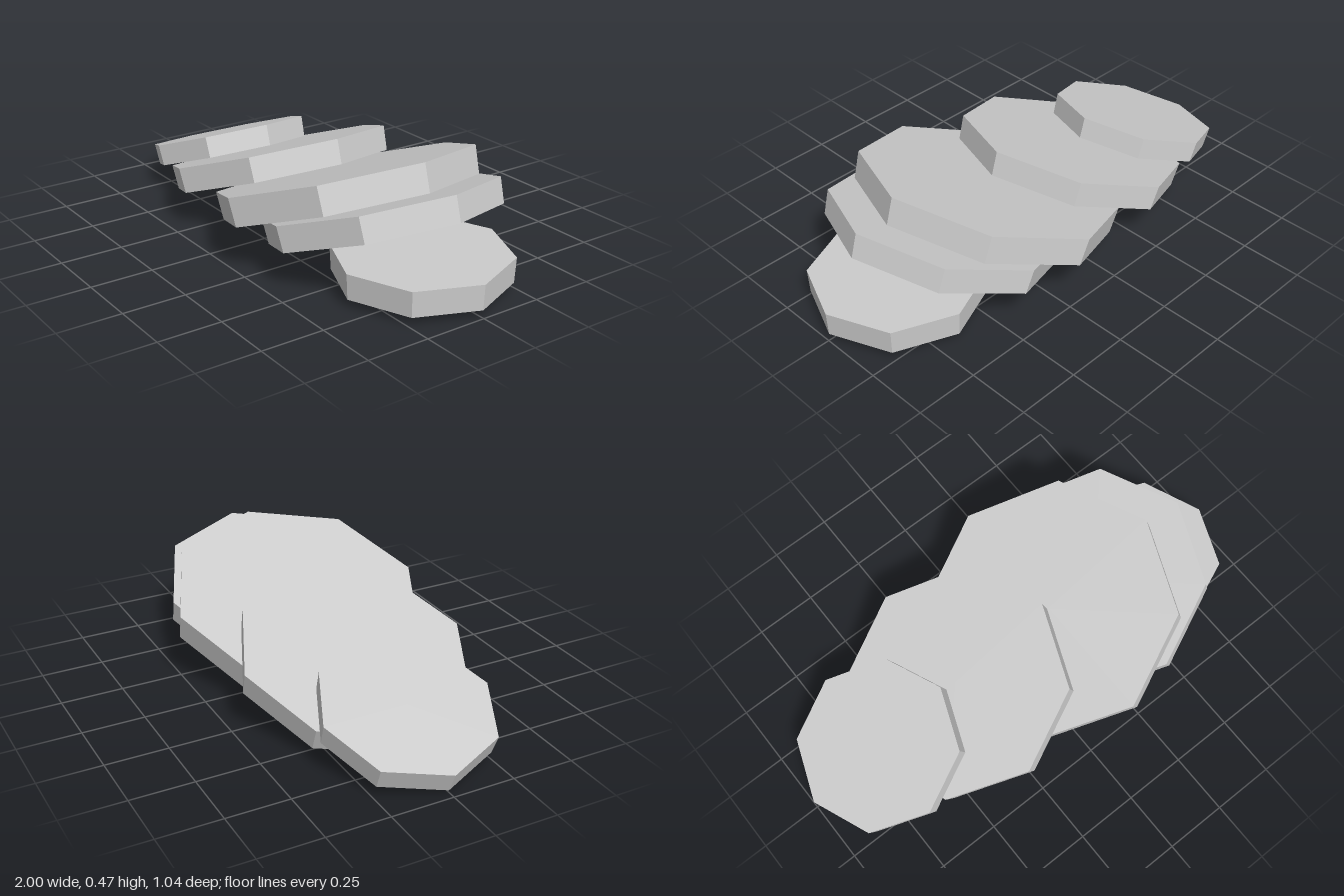
import * as THREE from 'three';

export function createModel() {
  const group = new THREE.Group();
  const material = new THREE.MeshStandardMaterial({ color: 0xcccccc, flatShading: true });
  const tilt = THREE.MathUtils.degToRad(20);

  // Octagonal slab, slightly narrower at its underside
  function addSlab(name, x, y, radius, thickness, angle) {
    const geometry = new THREE.CylinderGeometry(radius, radius * 0.985, thickness, 8);
    const slab = new THREE.Mesh(geometry, material);
    slab.name = name;
    slab.position.set(x, y, 0);
    slab.rotation.z = angle;
    group.add(slab);
  }

  // Flat slab that the others lean over
  addSlab('baseSlab', 0.661, 0.084, 0.339, 0.1, 0);

  // Overlapping row of leaning slabs
  addSlab('firstLeaningSlab', 0.42, 0.206, 0.459, 0.1, tilt);
  addSlab('largeLeaningSlab', 0.195, 0.246, 0.518, 0.112, tilt);
  addSlab('thirdLeaningSlab', -0.275, 0.206, 0.459, 0.1, tilt);
  addSlab('smallLeaningSlab', -0.667, 0.168, 0.34, 0.087, tilt);

  return group;
}
